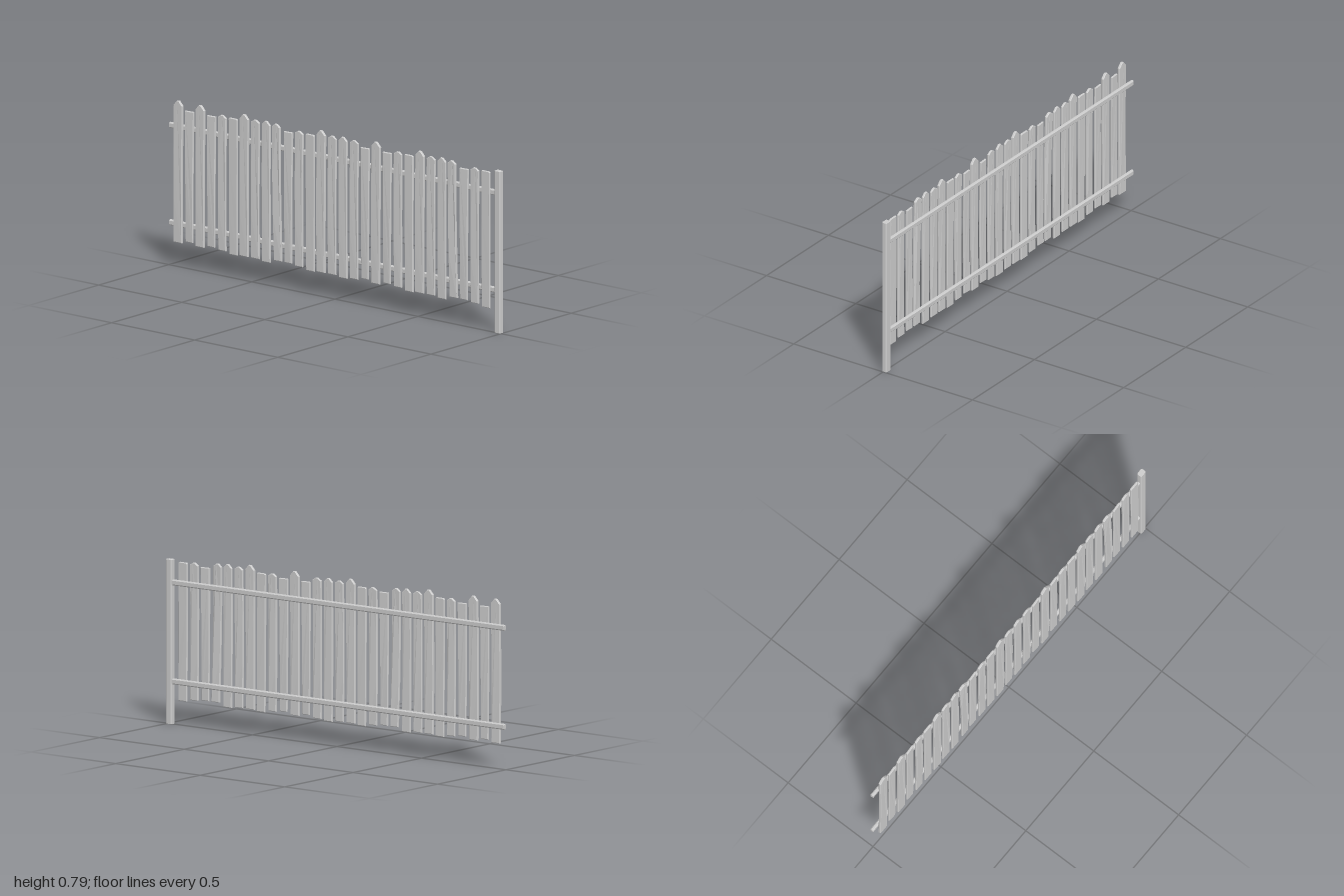
import * as THREE from 'three';

const material = new THREE.MeshStandardMaterial({ color: 0xcccccc, flatShading: true });

// Picket types: bottom, shoulder and tip heights, widths at bottom / top,
// sideways lean of the top, twist of the top, forward bow, thickness
const TYPES = {
  A: { bottom: 0.117, shoulder: 0.768, tip: 0.79, wb: 0.05, wt: 0.053, lean: 0.002, twist: 0, bow: 0.002, depth: 0.014 },
  B: { bottom: 0.128, shoulder: 0.749, tip: 0.75, wb: 0.044, wt: 0.05, lean: 0.001, twist: 0.12, bow: 0.002, depth: 0.011 },
  C: { bottom: 0.122, shoulder: 0.753, tip: 0.765, wb: 0.046, wt: 0.049, lean: 0, twist: 0, bow: 0.003, depth: 0.012 },
  D: { bottom: 0.112, shoulder: 0.755, tip: 0.76, wb: 0.049, wt: 0.053, lean: -0.002, twist: 0, bow: 0.001, depth: 0.011 },
  E: { bottom: 0.117, shoulder: 0.762, tip: 0.775, wb: 0.049, wt: 0.051, lean: 0.001, twist: 0, bow: 0.003, depth: 0.011 },
  G: { bottom: 0.111, shoulder: 0.762, tip: 0.78, wb: 0.049, wt: 0.05, lean: -0.001, twist: 0, bow: 0.002, depth: 0.012 },
  F: { bottom: 0.128, shoulder: 0.762, tip: 0.776, wb: 0.045, wt: 0.05, lean: -0.011, twist: -0.08, bow: 0.005, depth: 0.013 },
};
const ORDER = 'ABABCDAEGFBCDAEGEBABCDAEGFBCD';

// Bevelled board with a pointed or nearly flat head, then leaned, twisted and bowed
function picketGeometry({ bottom, shoulder, tip, wb, wt, lean, twist, bow, depth }) {
  const b = 0.003;
  const height = shoulder - bottom;
  const right = [[wb / 2, bottom]];
  for (const t of [0.33, 0.66]) {
    right.push([THREE.MathUtils.lerp(wb, wt, t) / 2, bottom + t * height]);
  }
  right.push([wt / 2, shoulder], [tip - shoulder < 0.006 ? wt * 0.4 : 0.006, tip]);
  const left = right.map(([x, y]) => [-x, y]).reverse();
  const shape = new THREE.Shape([...right, ...left].map(([x, y]) => new THREE.Vector2(x, y)));
  const geometry = new THREE.ExtrudeGeometry(shape, {
    depth: depth - 2 * b, bevelThickness: b, bevelSize: b, bevelOffset: -b, bevelSegments: 1,
  });
  geometry.translate(0, 0, b);
  const p = geometry.attributes.position;
  for (let i = 0; i < p.count; i++) {
    const x = p.getX(i), t = (p.getY(i) - bottom) / height;
    const lift = bow * Math.sin(Math.PI * THREE.MathUtils.clamp(t, 0, 1));
    p.setX(i, x + lean * (t - 0.5));
    p.setZ(i, p.getZ(i) + lift - x * twist * (t - 0.4));
  }
  geometry.computeVertexNormals();
  return geometry;
}

// Bar along z with its long edges cut off
function chamferedBar(w, h, length, c) {
  const x = w / 2, y = h / 2;
  const shape = new THREE.Shape([
    [x - c, -y], [x, -y + c], [x, y - c], [x - c, y],
    [-x + c, y], [-x, y - c], [-x, -y + c], [-x + c, -y],
  ].map(([a, b]) => new THREE.Vector2(a, b)));
  const e = 0.002;
  const geometry = new THREE.ExtrudeGeometry(shape, {
    depth: length - 2 * e, bevelThickness: e, bevelSize: e, bevelOffset: -e, bevelSegments: 1,
  });
  return geometry.translate(0, 0, e);
}

export function createModel() {
  const fence = new THREE.Group();
  fence.name = 'picketFence';
  const add = (name, geometry, x, y, z) => {
    const mesh = new THREE.Mesh(geometry, material);
    mesh.name = name;
    mesh.position.set(x, y, z);
    fence.add(mesh);
  };

  // End post
  const post = chamferedBar(0.036, 0.027, 0.77, 0.005).rotateX(-Math.PI / 2);
  add('post', post, 0.982, 0, -0.0055);

  // Two rails running into the post
  const rail = chamferedBar(0.017, 0.027, 1.975, 0.005).rotateY(Math.PI / 2);
  add('lowerRail', rail, -1, 0.201, -0.0075);
  add('upperRail', rail, -1, 0.663, -0.0075);

  // Row of pickets in front of the rails
  const boards = {};
  for (const key in TYPES) boards[key] = picketGeometry(TYPES[key]);
  [...ORDER].forEach((key, i) => {
    add('picket' + (i + 1), boards[key], -0.936 + i * 0.0661, 0, 0);
  });
  return fence;
}
